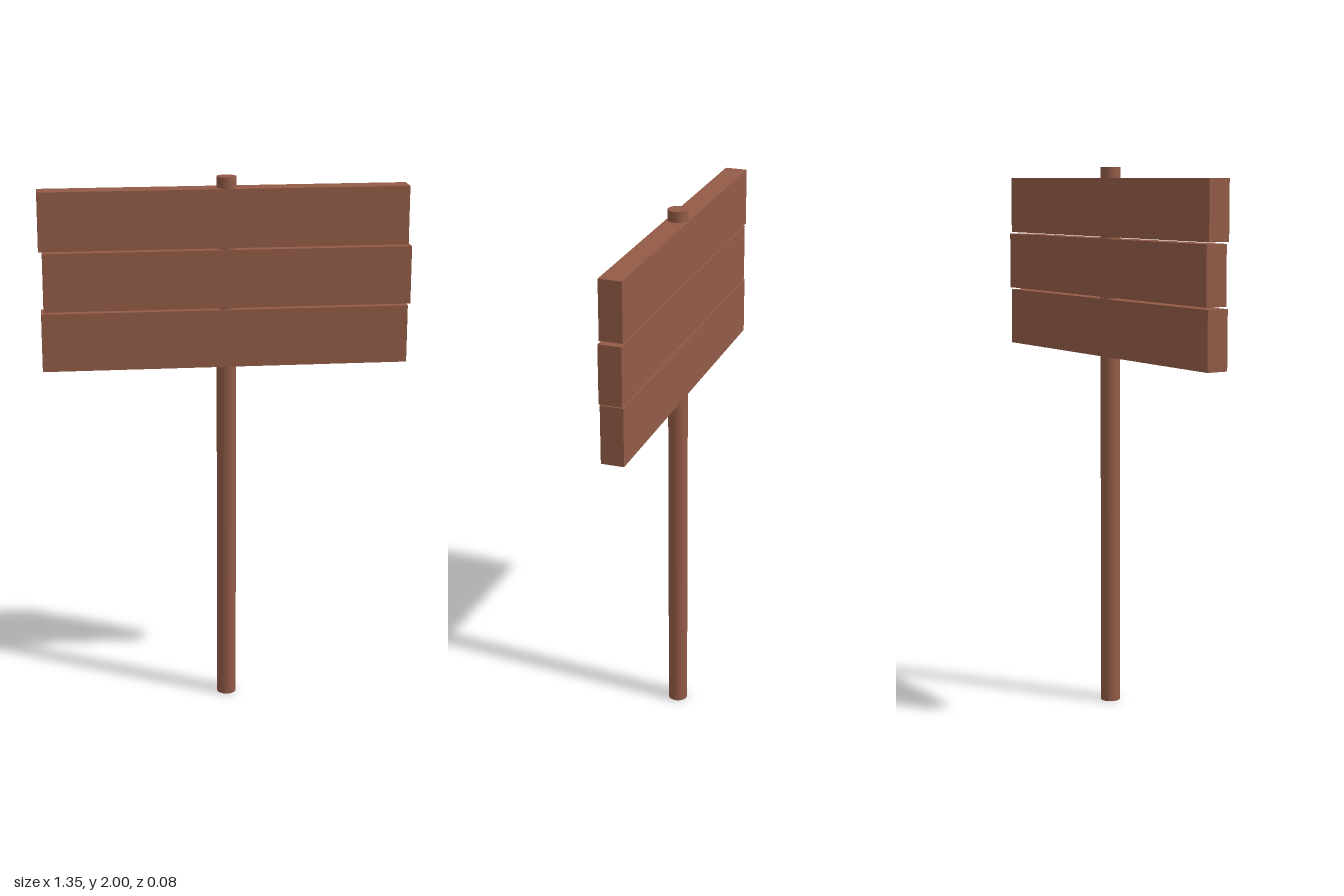
import * as THREE from 'three';

export function createModel() {
  const group = new THREE.Group();
  group.name = 'woodenSign';
  const wood = new THREE.MeshStandardMaterial({ color: 0x935b47 });

  // Round post, full height, poking out above the boards
  const post = new THREE.Mesh(new THREE.CylinderGeometry(0.036, 0.036, 2, 32), wood);
  post.name = 'post';
  post.position.y = 1;
  group.add(post);

  // Three boards, each shifted slightly sideways, with narrow gaps
  const boards = [
    ['topBoard', -0.008, 1.854],
    ['middleBoard', 0.005, 1.635],
    ['bottomBoard', -0.004, 1.416],
  ];
  const boardGeometry = new THREE.BoxGeometry(1.333, 0.212, 0.083);
  for (const [name, x, y] of boards) {
    const board = new THREE.Mesh(boardGeometry, wood);
    board.name = name;
    board.position.set(x, y, 0);
    group.add(board);
  }
  return group;
}
